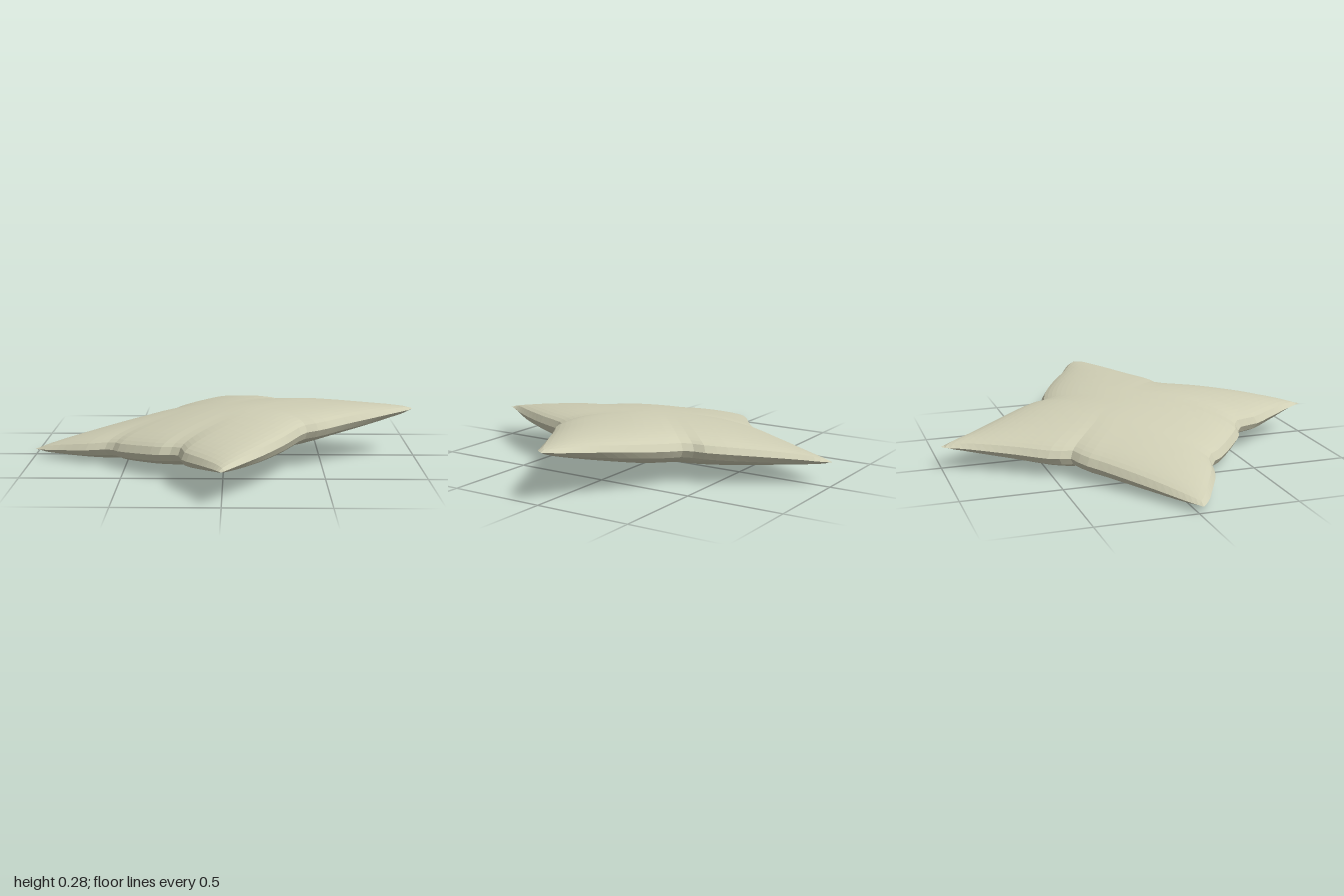
import * as THREE from 'three';

// Seam outline: four sides between the corner tips, as [x, z]
const SIDES = {
  leftToFront: [[-1, 0.02], [-0.96, 0.06], [-0.86, 0.12], [-0.71, 0.2], [-0.58, 0.24], [-0.54, 0.3], [-0.4, 0.43],
    [-0.31, 0.5], [-0.23, 0.53], [-0.205, 0.58], [-0.2, 0.64], [-0.11, 0.8], [-0.04, 0.92], [0, 1]],
  backToRight: [[-0.02, -1], [0.02, -0.95], [0.06, -0.87], [0.18, -0.69], [0.28, -0.55], [0.325, -0.47], [0.34, -0.4],
    [0.45, -0.36], [0.6, -0.28], [0.8, -0.15], [0.94, -0.07], [0.99, -0.02]],
  leftToBack: [[-1, 0.02], [-0.95, -0.02], [-0.75, -0.15], [-0.5, -0.32], [-0.42, -0.38], [-0.335, -0.42],
    [-0.325, -0.49], [-0.2, -0.69], [-0.07, -0.91], [-0.04, -0.98], [-0.02, -1]],
  frontToRight: [[0, 1], [0.03, 0.96], [0.1, 0.87], [0.2, 0.73], [0.31, 0.54], [0.36, 0.43], [0.415, 0.33],
    [0.49, 0.305], [0.62, 0.22], [0.76, 0.14], [0.88, 0.07], [0.97, 0.015], [0.99, -0.02]],
};
const N = 32;

// Denser spacing near the seam
const ease = s => 0.5 * s + 0.5 * (1 - Math.cos(Math.PI * s)) / 2;

function sampleSide(points) {
  const curve = new THREE.CatmullRomCurve3(points.map(([x, z]) => new THREE.Vector3(x, 0, z)), false, 'centripetal');
  return Array.from({ length: N + 1 }, (_, i) => curve.getPointAt(ease(i / N)));
}

// One cloth panel: blend the four sides into a grid, then puff it up or down
function panel(sides, dir) {
  const { leftToFront: s0, backToRight: s1, leftToBack: t0, frontToRight: t1 } = sides;
  const position = [], index = [];
  for (let j = 0; j <= N; j++) {
    for (let i = 0; i <= N; i++) {
      const u = ease(i / N), v = ease(j / N);
      const blend = k =>
        (1 - v) * s0[i][k] + v * s1[i][k] + (1 - u) * t0[j][k] + u * t1[j][k]
        - (1 - u) * (1 - v) * s0[0][k] - u * (1 - v) * s0[N][k]
        - (1 - u) * v * s1[0][k] - u * v * s1[N][k];
      const x = blend('x'), z = blend('z');
      const fill = Math.max(0, 16 * u * (1 - u) * v * (1 - v));
      // The cushion leans up towards its left and slightly to the front
      const y = 0.15 + 0.11 * x + 0.02 * z + dir * 0.121 * Math.pow(fill, 0.45);
      position.push(x, y, z);
      if (i < N && j < N) {
        const a = j * (N + 1) + i, b = a + 1, d = a + N + 1, c = d + 1;
        if (dir > 0) index.push(a, b, c, a, c, d);
        else index.push(a, c, b, a, d, c);
      }
    }
  }
  const geometry = new THREE.BufferGeometry();
  geometry.setAttribute('position', new THREE.Float32BufferAttribute(position, 3));
  geometry.setIndex(index);
  geometry.computeVertexNormals();
  return geometry;
}

export function createModel() {
  const group = new THREE.Group();
  group.name = 'cushion';
  const cloth = new THREE.MeshStandardMaterial({ color: 0xcfceb4, flatShading: true });
  const sides = {};
  for (const name in SIDES) sides[name] = sampleSide(SIDES[name]);

  // Top and bottom cloth, joined at the seam
  for (const [name, dir] of [['topPanel', 1], ['bottomPanel', -1]]) {
    const mesh = new THREE.Mesh(panel(sides, dir), cloth);
    mesh.name = name;
    group.add(mesh);
  }

  // Rest the lowest point on the ground
  const drop = new THREE.Box3().setFromObject(group).min.y;
  group.children.forEach(mesh => mesh.geometry.translate(0, -drop, 0));
  return group;
}
